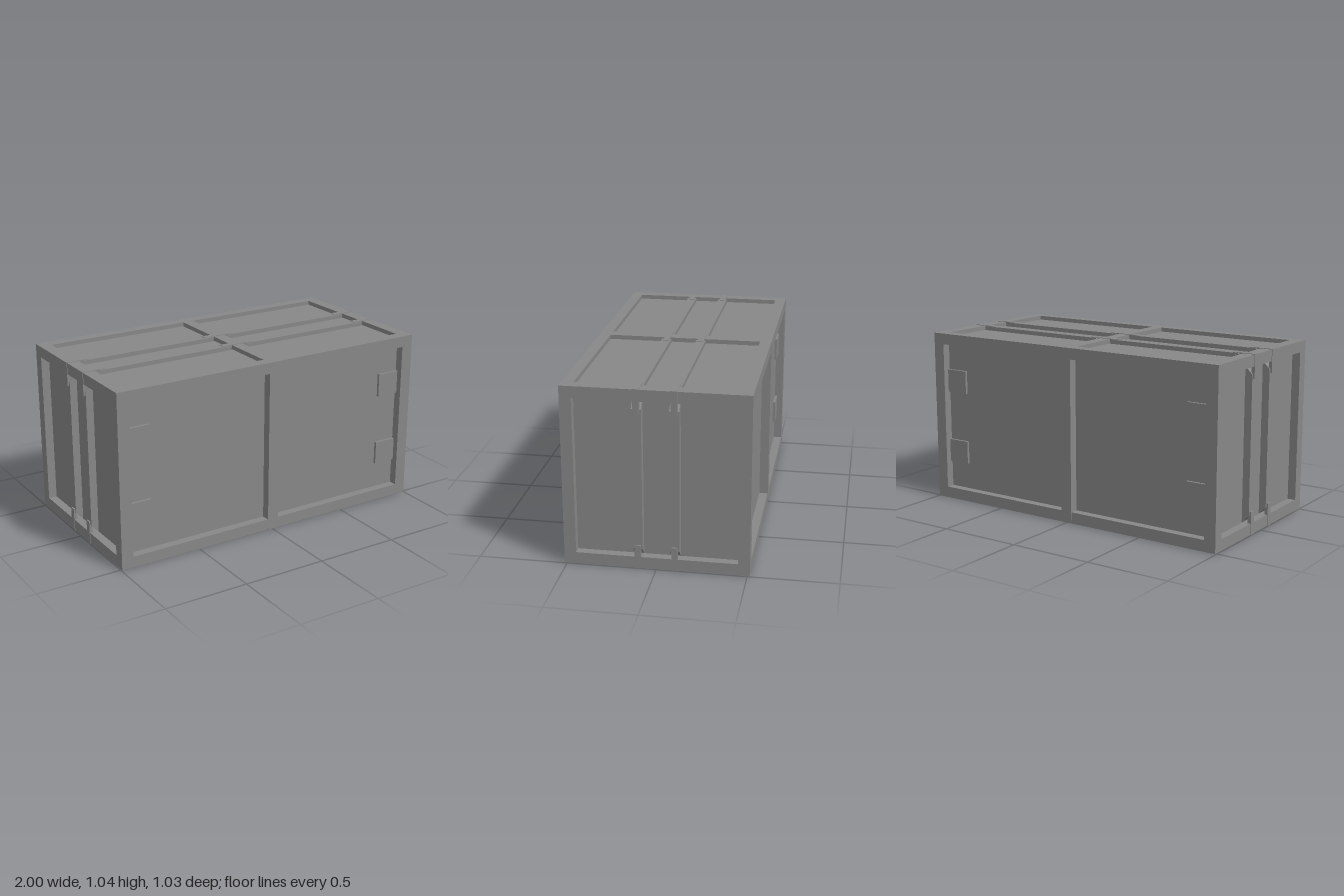
import * as THREE from 'three';

export function createModel() {
  const model = new THREE.Group();
  const mat = new THREE.MeshStandardMaterial({ color: 0x878787, flatShading: true });
  const X = 0.997, Y = 0.516, Z = 0.514; // half sizes of the frame
  const W = 0.066, WX = 0.071, M = 0.035; // beam width, its width along x, half of middle beam
  const D = 0.05, DY = 0.025;            // panel recess on the walls, on top and bottom
  const T = 0.003;                       // how far the clips stand proud

  const add = (name, geo, x = 0, y = 0, z = 0, rotY = 0, rotZ = 0) => {
    const mesh = new THREE.Mesh(geo, mat);
    mesh.name = name;
    mesh.position.set(x, y, z);
    mesh.rotation.set(0, rotY, rotZ);
    model.add(mesh);
  };
  const box = (name, w, h, d, x, y, z) => add(name, new THREE.BoxGeometry(w, h, d), x, y, z);
  // Extrudes a side profile, centred on z
  const prism = (points, depth) => {
    const shape = new THREE.Shape(points.map(([x, y]) => new THREE.Vector2(x, y)));
    const geo = new THREE.ExtrudeGeometry(shape, { depth, bevelEnabled: false });
    return geo.translate(0, 0, -depth / 2);
  };

  // Recessed panels on all six sides
  box('panels', 2 * (X - D), 2 * (Y - DY), 2 * (Z - D), 0, 0, 0);

  // Outer frame and the middle ring, whose posts stand slightly proud
  const P = 0.002;
  for (const a of [-1, 1]) {
    for (const b of [-1, 1]) {
      box('longBeam', 2 * X, W, W, 0, a * (Y - W / 2), b * (Z - W / 2));
      box('cornerPost', WX, 2 * (Y - W), W, a * (X - WX / 2), 0, b * (Z - W / 2));
      box('crossBeam', WX, W, 2 * (Z - W), a * (X - WX / 2), b * (Y - W / 2), 0);
    }
    box('middlePost', 2 * M, 2 * Y, W, 0, 0, a * (Z + P - W / 2));
    box('middleCrossBeam', 2 * M, W, 2 * (Z - W), 0, a * (Y - W / 2), 0);
  }

  // Ribs with chamfered ends
  const rib = (length, top, c) => {
    const h = length / 2;
    return prism([[-h, -0.01], [h, -0.01], [h, top - c], [h - c, top], [-h + c, top], [-h, top - c]], 0.054);
  };
  const sideRib = rib(2 * (Y - W) - 0.01, D - 0.006, 0.04);
  const topRib = rib(X - WX - M - 0.01, DY, 0.022);
  const ribX = (X - WX + M) / 2;

  // Clips folded over the frame edges
  const t = 0.02, reach = 0.138;
  const cx = X + T, cy = Y + T;
  const cornerClip = prism([
    [cx, cy], [cx - reach, cy], [cx - reach, cy - t],
    [cx - t, cy - t], [cx - t, cy - reach], [cx, cy - reach],
  ], 0.035);

  for (const z of [-0.102, 0.102]) {
    for (const s of [-1, 1]) {
      const flip = s > 0 ? 0 : Math.PI;
      add('sideRib', sideRib, s * (X - D), 0, z, 0, -s * Math.PI / 2);
      for (const x of [-ribX, ribX]) {
        add(s > 0 ? 'topRib' : 'bottomRib', topRib, x, s * (Y - DY), z, 0, flip);
      }
      box('middleClip', 0.2, t, 0.035, 0, s * (cy - t / 2), z);
      for (const turn of [0, Math.PI]) add('cornerClip', cornerClip, 0, 0, z, turn, flip);
    }
  }

  // Hinge plates on the front and back panels
  for (const x of [-0.856, 0.856]) {
    for (const y of [-0.22, 0.22]) {
      for (const z of [-1, 1]) box('hingePlate', 0.14, 0.14, 0.03, x, y, z * (Z - D));
    }
  }

  // Stand the model on the ground
  model.children.forEach((part) => { part.position.y += cy; });
  return model;
}
